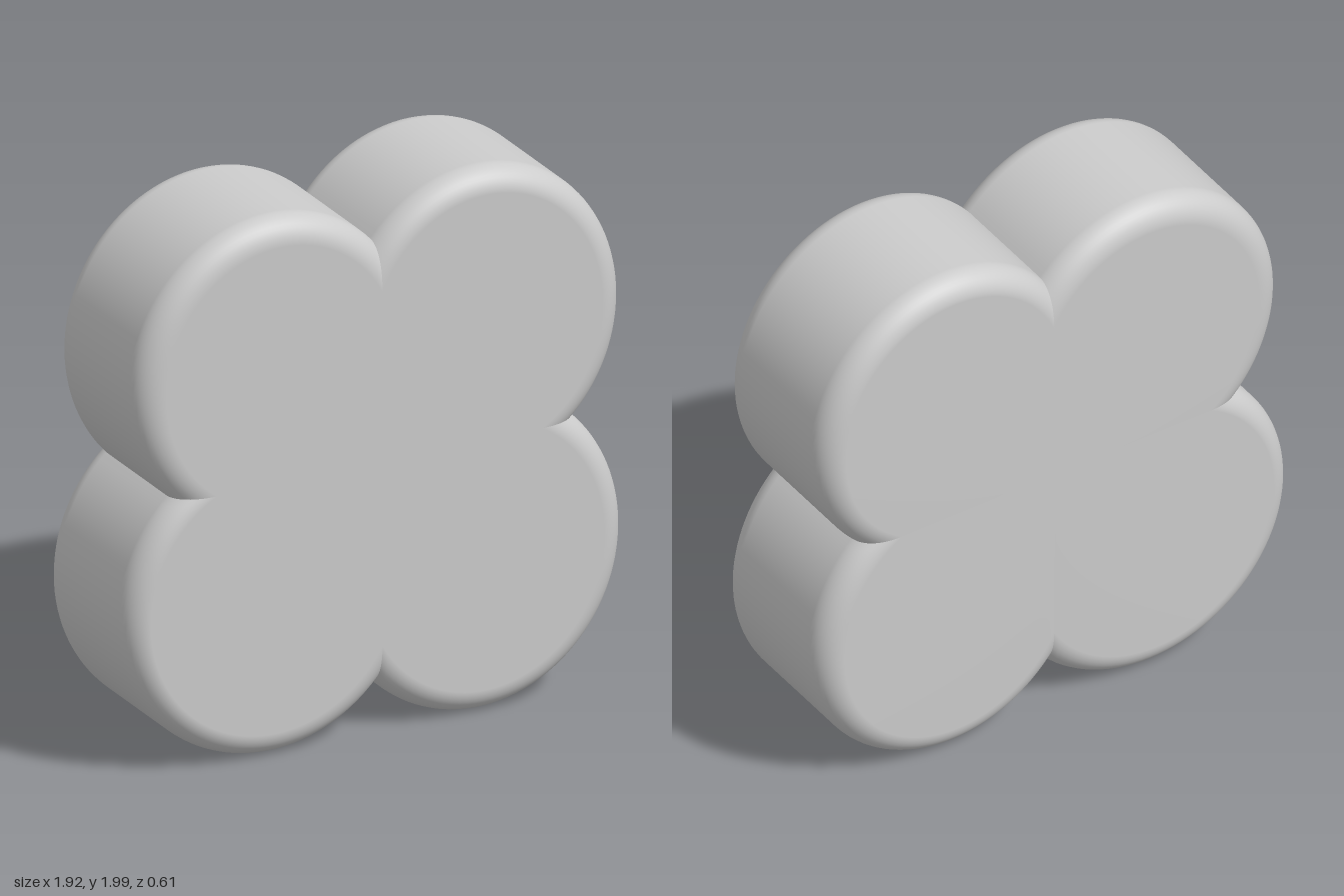
import * as THREE from 'three';

const CENTRE_Y = 1.005;   // height where the four petals meet
const HALF_DEPTH = 0.305;
const ROUND = 0.09;       // radius of the rounded rims
const SEGMENTS = 56;      // steps around each petal

// One ellipse per petal, counter-clockwise from the model's upper left (+x, +y)
const PETALS = [
  { name: 'upperLeftPetal', x: 0.4, y: 1.43, rx: 0.535, ry: 0.57 },
  { name: 'upperRightPetal', x: -0.4, y: 1.39, rx: 0.545, ry: 0.575 },
  { name: 'lowerRightPetal', x: -0.4, y: 0.57, rx: 0.56, ry: 0.57 },
  { name: 'lowerLeftPetal', x: 0.4, y: 0.58, rx: 0.55, ry: 0.58 },
];

// Distance from the centre to the far side of a petal's ellipse, shrunk by inset
function reach(petal, angle, inset) {
  const a = petal.rx - inset, b = petal.ry - inset;
  const dx = Math.cos(angle) / a, dy = Math.sin(angle) / b;
  const ox = -petal.x / a, oy = (CENTRE_Y - petal.y) / b;
  const A = dx * dx + dy * dy, B = ox * dx + oy * dy, C = ox * ox + oy * oy - 1;
  return (-B + Math.sqrt(Math.max(0, B * B - A * C))) / A;
}

// Outline radius within quadrant q; neighbouring petals meet exactly at the notches
function outline(q, t, inset) {
  const start = q * Math.PI / 2, end = start + Math.PI / 2;
  const petal = PETALS[q], before = PETALS[(q + 3) % 4], after = PETALS[(q + 1) % 4];
  const fixStart = (reach(before, start, inset) - reach(petal, start, inset)) / 2;
  const fixEnd = (reach(after, end, inset) - reach(petal, end, inset)) / 2;
  return reach(petal, start + t * Math.PI / 2, inset) + fixStart * (1 - t) + fixEnd * t;
}

// Cross-section levels from the front face, around the rims, to the back face
function makeLevels() {
  const front = [];
  for (let i = 0; i <= 10; i++) {
    const a = (i / 10) * Math.PI / 2;
    front.push({ inset: ROUND * (1 - Math.sin(a)), z: HALF_DEPTH - ROUND * (1 - Math.cos(a)) });
  }
  const back = front.map(({ inset, z }) => ({ inset, z: -z })).reverse();
  const hub = { hub: true, z: HALF_DEPTH };
  return [hub, ...front, ...back, { hub: true, z: -HALF_DEPTH }];
}

function petalGeometry(q) {
  const levels = makeLevels(), positions = [], index = [];
  const row = SEGMENTS + 1;
  levels.forEach(({ hub, inset, z }, i) => {
    for (let j = 0; j <= SEGMENTS; j++) {
      const t = j / SEGMENTS, angle = (q + t) * Math.PI / 2;
      const r = hub ? 0 : outline(q, t, inset);
      positions.push(r * Math.cos(angle), CENTRE_Y + r * Math.sin(angle), z);
      if (i === levels.length - 1 || j === SEGMENTS) continue;
      const a = i * row + j, b = a + row;
      if (!levels[i + 1].hub) index.push(a, b, b + 1);
      else index.push(a, b, a + 1);
      if (!hub && !levels[i + 1].hub) index.push(a, b + 1, a + 1);
    }
  });
  const geometry = new THREE.BufferGeometry();
  geometry.setAttribute('position', new THREE.Float32BufferAttribute(positions, 3));
  geometry.setIndex(index);
  geometry.computeVertexNormals();
  return geometry;
}

export function createModel() {
  const group = new THREE.Group();
  group.name = 'fourPetalBlock';
  const material = new THREE.MeshStandardMaterial({ color: 0xcccccc });
  PETALS.forEach((petal, q) => {
    const mesh = new THREE.Mesh(petalGeometry(q), material);
    mesh.name = petal.name;
    group.add(mesh);
  });
  return group;
}
